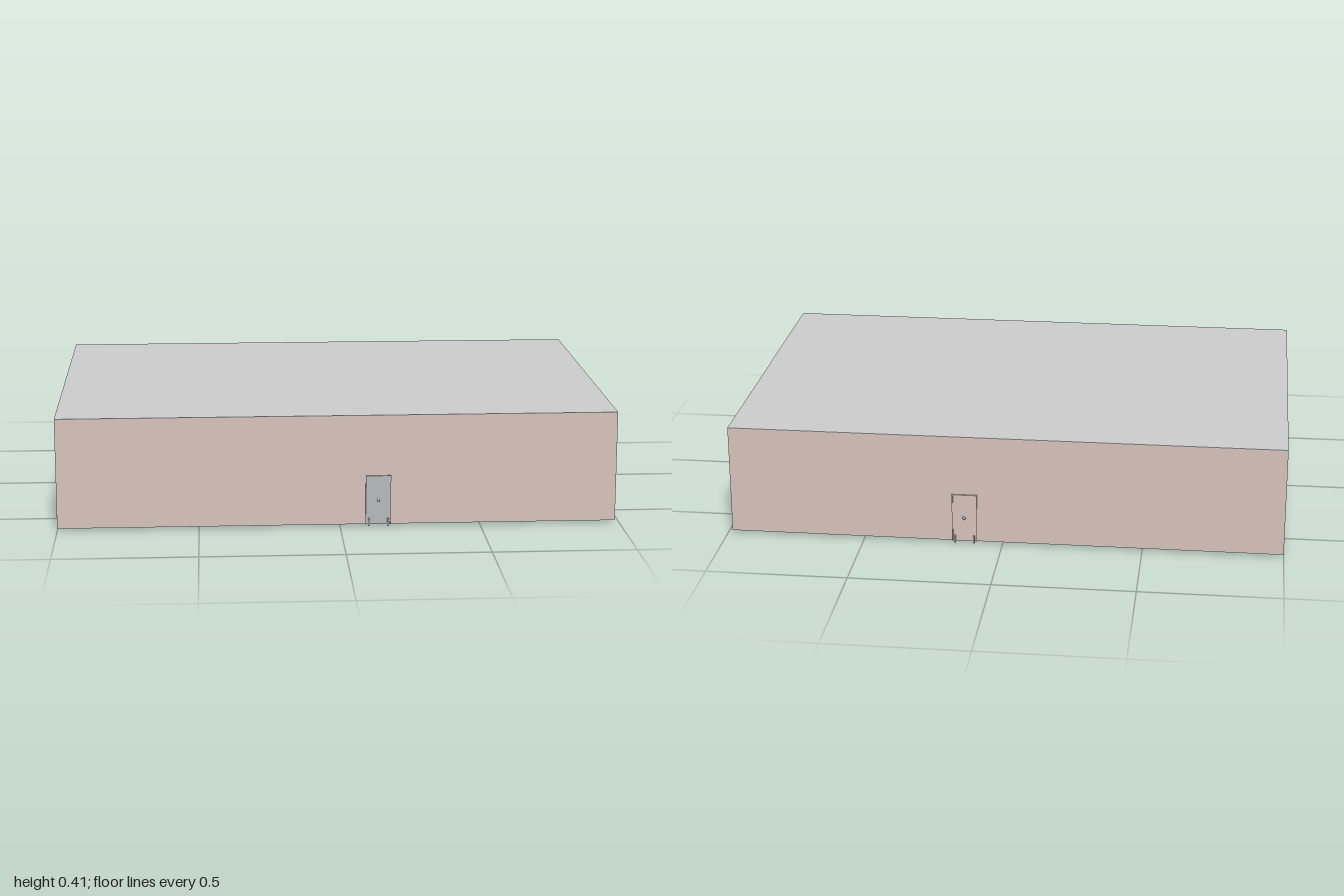
import * as THREE from 'three';

const WALL = new THREE.MeshStandardMaterial({ color: 0xd6c1ba });
const GREY = new THREE.MeshStandardMaterial({ color: 0xcccccc });
const GLASS = new THREE.MeshStandardMaterial({ color: 0xb4b9b9 });

const BASE = 0.008, TOP = 0.405, X0 = -1, X1 = 0.985, Z = 0.66;

function box(parent, name, mat, size, pos) {
  const mesh = new THREE.Mesh(new THREE.BoxGeometry(...size), mat);
  mesh.name = name;
  mesh.position.set(...pos);
  parent.add(mesh);
  return mesh;
}

// Knob on a short stem, pointing along +z
function knob(parent, x, y) {
  const profile = [[0, 0], [0.007, 0], [0.007, 0.001], [0.003, 0.002], [0.003, 0.004], [0.006, 0.006], [0.004, 0.008], [0, 0.008]]
    .map(([r, h]) => new THREE.Vector2(r, h));
  const mesh = new THREE.Mesh(new THREE.LatheGeometry(profile, 16), GREY);
  mesh.name = 'doorKnob';
  mesh.rotation.x = Math.PI / 2;
  mesh.position.set(x, y, 0.002);
  parent.add(mesh);
}

// Door in its own plane: wall at z = 0, outside towards +z
function door(name, { leafMat = WALL, double = false } = {}) {
  const g = new THREE.Group();
  g.name = name;
  const w = 0.09, h = 0.178;
  box(g, 'doorLeaf', leafMat, [w, h, 0.004], [0, h / 2, 0]);
  for (const s of [-1, 1]) {
    box(g, 'doorJamb', leafMat, [0.004, h, 0.012], [s * (w / 2 - 0.002), h / 2, 0]);
    // Small stop at the foot of each jamb
    box(g, 'doorStop', GREY, [0.006, 0.026, 0.015], [s * 0.034, 0.009, 0.0075]);
    if (double) {
      box(g, 'doorPane', GLASS, [0.026, 0.142, 0.002], [s * 0.0215, 0.092, 0.0022]);
      knob(g, s * 0.005, 0.09);
    }
  }
  box(g, 'doorLintel', leafMat, [w, 0.004, 0.012], [0, h - 0.002, 0]);
  if (!double) knob(g, 0, 0.09);
  return g;
}

export function createModel() {
  const model = new THREE.Group();
  model.name = 'building';
  const cx = (X0 + X1) / 2, w = X1 - X0;

  // Shell
  box(model, 'walls', WALL, [w, TOP - BASE - 0.006, 2 * Z], [cx, (TOP + BASE) / 2, 0]);
  box(model, 'roof', GREY, [w, 0.003, 2 * Z], [cx, TOP - 0.0015, 0]);
  box(model, 'floor', GREY, [w, 0.003, 2 * Z], [cx, BASE + 0.0015, 0]);

  // Low band on the side without doors
  box(model, 'sideBand', GLASS, [0.002, 0.08, 1.22], [X0, 0.065, 0.04]);

  // Foundation pads around the underside
  const pad = (x, z) => box(model, 'foundationPad', GREY, [0.056, BASE, 0.05], [x, BASE / 2, z]);
  for (let i = 0; i < 7; i++) {
    const x = -0.85 + i * 0.285;
    pad(x, -0.575);
    pad(x, 0.545);
  }
  for (const z of [-0.34, -0.1, 0.145, 0.39]) pad(0.87, z);

  // Doors
  const place = (d, x, z, turn) => {
    d.position.set(x, BASE, z);
    d.rotation.y = turn;
    model.add(d);
  };
  place(door('frontDoor', { leafMat: GLASS }), 0.136, Z, 0);
  place(door('backDoor'), 0.136, -Z, Math.PI);
  for (const z of [0.277, -0.211]) place(door('sideDoor', { double: true }), X1, z, Math.PI / 2);

  return model;
}
